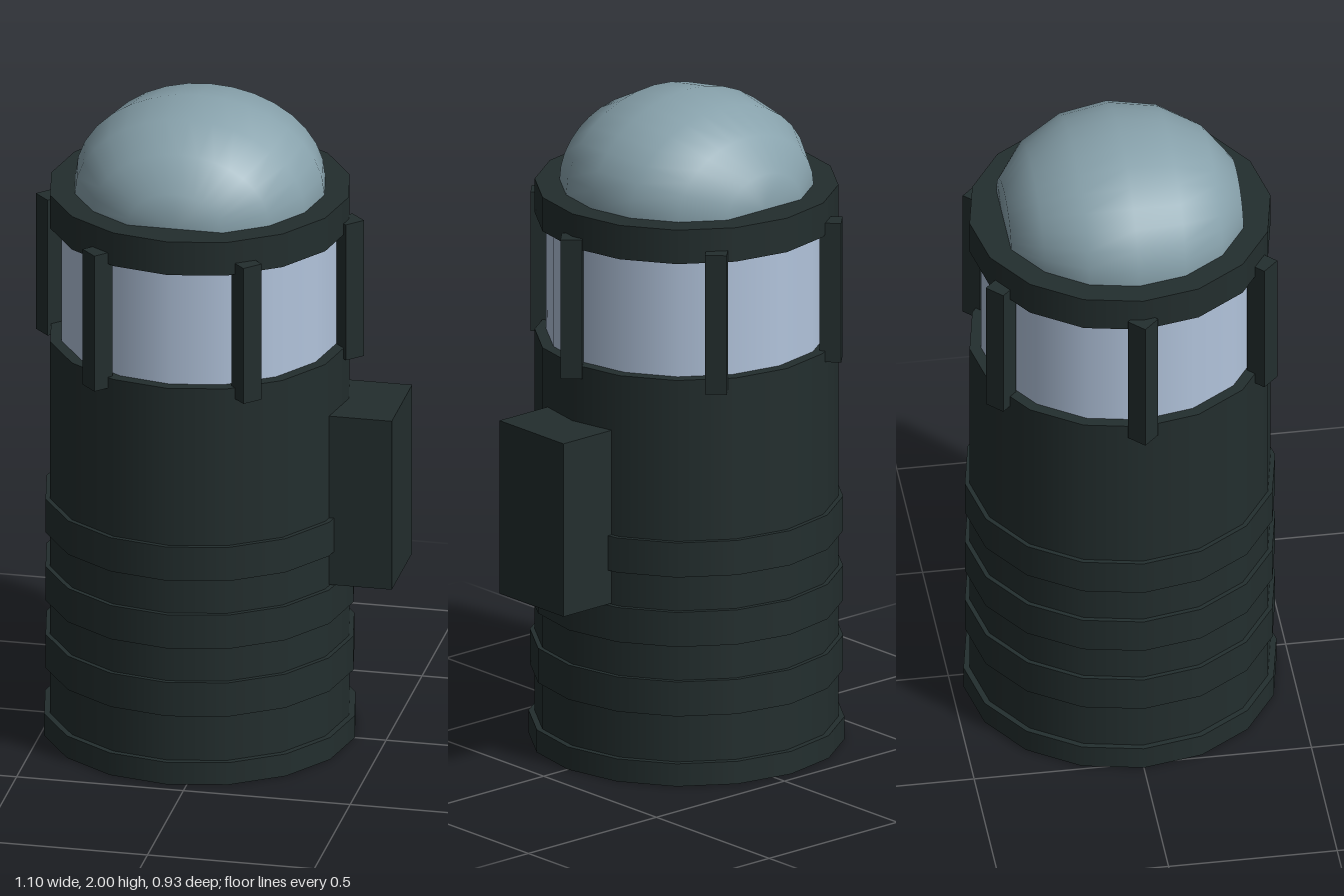
import * as THREE from 'three';

const AXIS_X = -0.058; // the round body sits left of centre, the box balances it

export function createModel() {
  const model = new THREE.Group();
  const dark = new THREE.MeshStandardMaterial({ color: 0x232e2e });
  dark.name = 'dark casing';
  const glass = new THREE.MeshStandardMaterial({ color: 0xb2c4dc });
  glass.name = 'pale blue glass';
  const domeBlue = new THREE.MeshStandardMaterial({ color: 0x88a2ac });
  domeBlue.name = 'grey blue dome';

  const add = (name, geometry, material, x, y, z) => {
    const mesh = new THREE.Mesh(geometry, material);
    mesh.name = name;
    mesh.position.set(x, y, z);
    model.add(mesh);
    return mesh;
  };
  // sixteen-sided drum between two heights
  const drum = (name, radius, y0, y1, material) =>
    add(name, new THREE.CylinderGeometry(radius, radius, y1 - y0, 16), material, AXIS_X, (y0 + y1) / 2, 0);

  // stacked body
  drum('body', 0.446, 0.03, 1.25, dark);
  drum('baseFlange', 0.464, 0, 0.07, dark);
  for (const y of [0.215, 0.43, 0.645]) drum('bodyRing', 0.46, y, y + 0.107, dark);
  drum('window', 0.412, 1.24, 1.62, glass);
  drum('topCollar', 0.446, 1.61, 1.715, dark);

  // diamond-section posts around the window
  const postGeometry = new THREE.CylinderGeometry(0.045, 0.045, 0.43, 4).toNonIndexed();
  postGeometry.computeVertexNormals();
  for (let i = 0; i < 6; i++) {
    const a = (i * Math.PI) / 3;
    add('windowPost', postGeometry, dark, AXIS_X + 0.447 * Math.cos(a), 1.43, 0.447 * Math.sin(a));
  }

  // half dome with its poles front and back, pressed flat at both ends
  const domeGeometry = new THREE.SphereGeometry(0.373, 16, 8, 0, Math.PI);
  const p = domeGeometry.attributes.position;
  const flat = 0.373 * Math.cos(Math.PI / 8);
  for (let i = 0; i < p.count; i++) p.setY(i, THREE.MathUtils.clamp(p.getY(i), -flat, flat));
  domeGeometry.rotateX(-Math.PI / 2);
  add('dome', domeGeometry, domeBlue, AXIS_X, 1.715, 0).scale.y = 0.285 / 0.373;

  // side box
  add('sideBox', new THREE.BoxGeometry(0.215, 0.535, 0.284), dark, 0.44, 0.8075, 0);

  return model;
}
